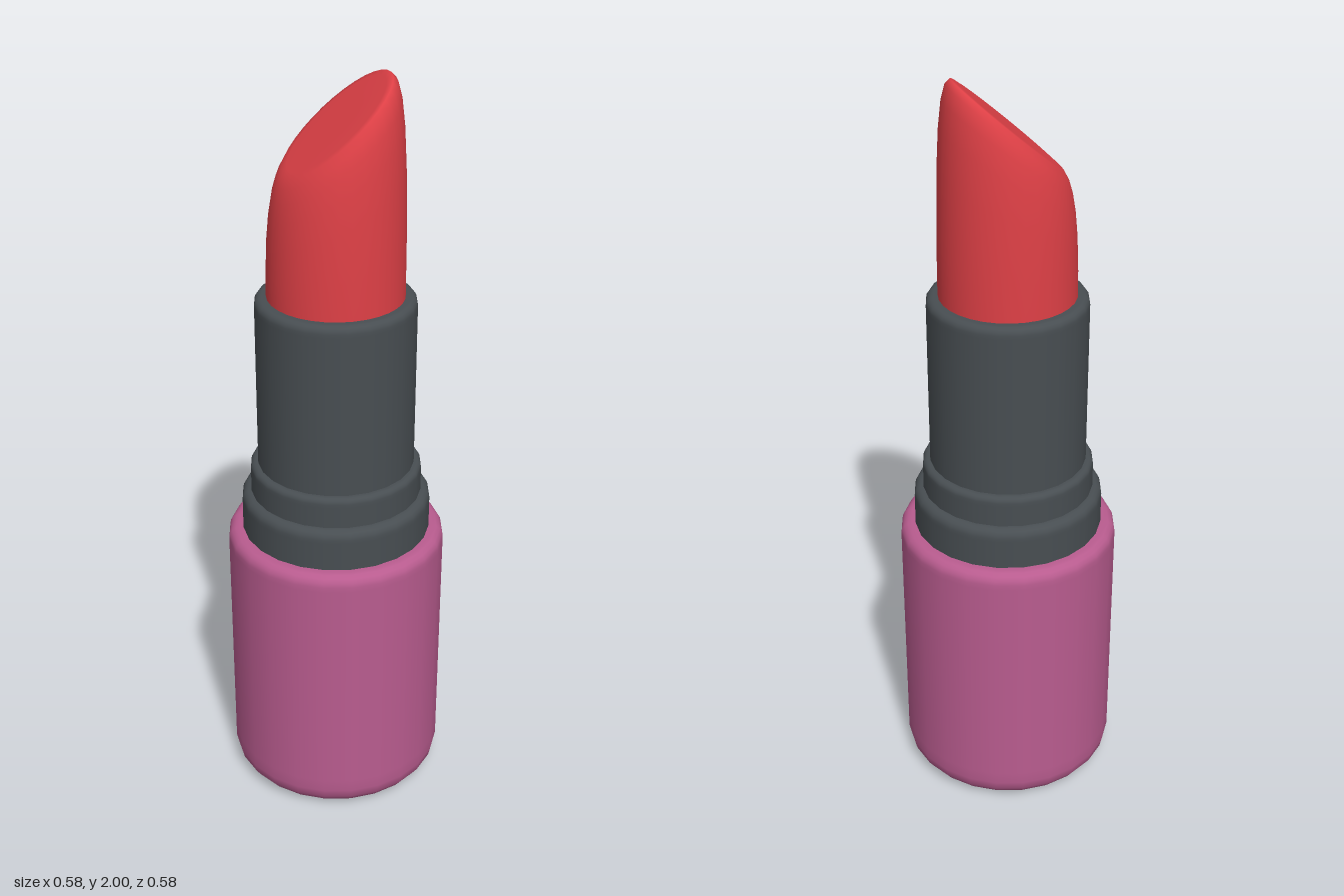
import * as THREE from 'three';
import { mergeVertices } from 'three/addons/utils/BufferGeometryUtils.js';

const SIDES = 24;
const TURN = -0.154; // small turn of the facets about the axis

const plastic = new THREE.MeshStandardMaterial({ color: 0xb95c8f });
plastic.name = 'pink plastic';
const metal = new THREE.MeshStandardMaterial({ color: 0x484e52 });
metal.name = 'dark grey metal';
const wax = new THREE.MeshStandardMaterial({ color: 0xde4046 });
wax.name = 'red wax';

// Quarter-round corner between the side wall (radius r) and a flat face at height y
function corner(r, y, round, height, isTop) {
  const points = [];
  for (let i = 0; i <= 4; i++) {
    const a = ((isTop ? i : 4 - i) / 4) * Math.PI / 2;
    points.push(new THREE.Vector2(
      r - round + round * Math.cos(a),
      isTop ? y - height + height * Math.sin(a) : y + height - height * Math.sin(a)
    ));
  }
  return points;
}

function turned(name, points, material) {
  const mesh = new THREE.Mesh(new THREE.LatheGeometry(points, SIDES), material);
  mesh.name = name;
  mesh.rotation.y = TURN;
  return mesh;
}

// Straight collar with a rounded top rim
function collar(name, r, y0, y1, inner, round) {
  return turned(name, [
    new THREE.Vector2(r, y0),
    new THREE.Vector2(r, y1 - round - 0.01),
    ...corner(r, y1, round, round, true),
    new THREE.Vector2(inner, y1),
  ], metal);
}

// Bullet: rings whose height follows a slanted cut, softened towards the rim
function bullet() {
  const base = 1.4;
  const rings = [
    [0.178, 0], [0.177, 0.3], [0.173, 0.58], [0.167, 0.76], [0.159, 0.88],
    [0.149, 0.955], [0.136, 0.995], [0.12, 1], [0.06, 1], [0, 1],
  ];
  const lathe = new THREE.LatheGeometry(rings.map(([r, t]) => new THREE.Vector2(r, t)), 32);
  lathe.deleteAttribute('uv');
  lathe.deleteAttribute('normal');
  const pos = lathe.attributes.position;
  for (let i = 0; i < pos.count; i++) {
    const cut = 1.884 + 0.75 * pos.getX(i) + 0.45 * pos.getZ(i);
    pos.setY(i, base + pos.getY(i) * (cut - base));
  }
  const geometry = mergeVertices(lathe, 1e-5);
  geometry.computeVertexNormals();
  const mesh = new THREE.Mesh(geometry, wax);
  mesh.name = 'lipstickBullet';
  return mesh;
}

export function createModel() {
  const model = new THREE.Group();
  model.name = 'lipstick';

  // Wide handle with a softly rounded foot
  model.add(turned('handle', [
    new THREE.Vector2(0, 0),
    new THREE.Vector2(0.2, 0),
    ...corner(0.294, 0, 0.07, 0.065, false),
    new THREE.Vector2(0.294, 0.1),
    new THREE.Vector2(0.294, 0.73),
    ...corner(0.294, 0.775, 0.03, 0.03, true),
    new THREE.Vector2(0.23, 0.775),
  ], plastic));

  // Stepped metal sleeve
  model.add(collar('lowerCollar', 0.254, 0.76, 0.888, 0.215, 0.024));
  model.add(collar('upperCollar', 0.229, 0.87, 0.972, 0.19, 0.016));
  model.add(collar('innerTube', 0.209, 0.95, 1.443, 0.165, 0.02));

  model.add(bullet());
  return model;
}
